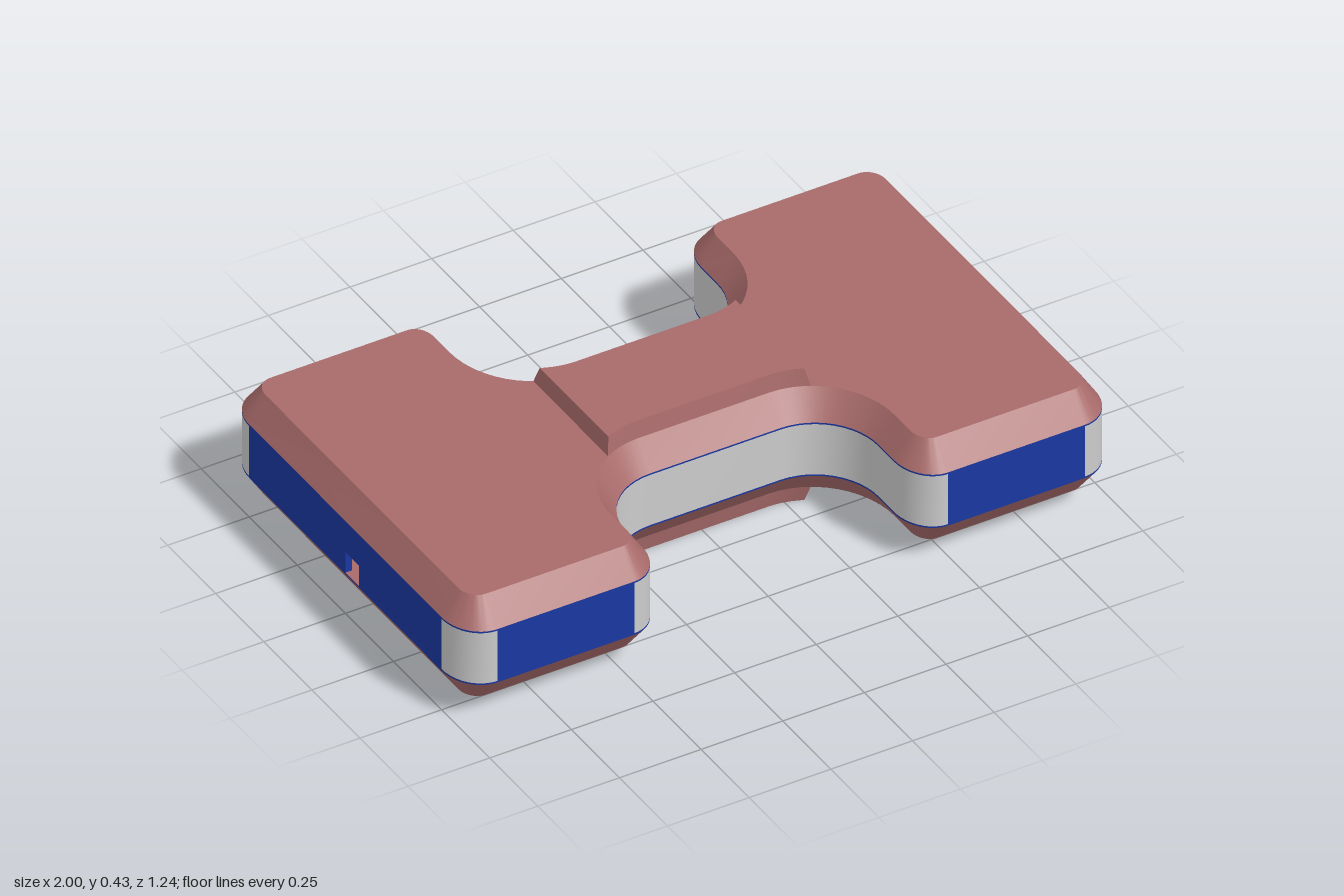
import * as THREE from 'three';
import { mergeGeometries, toCreasedNormals } from 'three/addons/utils/BufferGeometryUtils.js';

const ROSE = 0xa86a6a, BLUE = 0x1a37a0, GREY = 0xcccccc;
const MID = 0.215; // height of the mirror plane between upper and lower shell
const SEG = 12;

const material = (color) => new THREE.MeshStandardMaterial({ color, side: THREE.DoubleSide });

function add(parent, name, geometry, color) {
  const mesh = new THREE.Mesh(geometry, material(color));
  mesh.name = name;
  parent.add(mesh);
  return mesh;
}

// Mirrors a front-right quarter [x, z] into a closed ring
function mirrorRing(q) {
  const back = q.map(([x, z]) => [x, -z]).reverse();
  const flip = (list) => list.map(([x, z]) => [-x, -z]);
  return [...q, ...back, ...flip(q), ...flip(back)];
}

// H-shaped outline, shrunk by dx and dz
function outline(dx = 0, dz = 0) {
  const q = [];
  const arc = (f) => {
    for (let i = 0; i <= SEG; i++) {
      const t = (i / SEG) * Math.PI / 2;
      q.push(f(Math.sin(t), Math.cos(t)));
    }
  };
  arc((s, c) => [0.2 + (0.185 + dx) * s, 0.42 - (0.195 + dz) * c]); // waist curve
  arc((s, c) => [0.48 - (0.095 - dx) * c, 0.5 + (0.12 - dz) * s]); // inner corner
  arc((s, c) => [0.9 + (0.1 - dx) * s, 0.5 + (0.12 - dz) * c]); // outer corner
  return mirrorRing(q);
}

// Waist part of the outline, cut off at x = +-end
function waist(end, dx, dz) {
  const q = [];
  for (let i = 0; i <= SEG; i++) {
    const u = (end - 0.2) * i / SEG;
    q.push([0.2 + u, 0.42 - (0.195 + dz) * Math.sqrt(1 - (u / (0.185 + dx)) ** 2)]);
  }
  return mirrorRing(q);
}

// Wall between two rings; keep() chooses the segments
function wall(a, ya, b, yb, keep = () => true) {
  const pos = [];
  a.forEach((a0, i) => {
    const j = (i + 1) % a.length;
    if (!keep(a0, a[j])) return;
    const A = [a0[0], ya, a0[1]], B = [a[j][0], ya, a[j][1]];
    const C = [b[j][0], yb, b[j][1]], D = [b[i][0], yb, b[i][1]];
    pos.push(...A, ...B, ...C, ...A, ...C, ...D);
  });
  const g = new THREE.BufferGeometry();
  g.setAttribute('position', new THREE.Float32BufferAttribute(pos, 3));
  return g;
}

// Flat lid over a ring
function lid(ring, y) {
  const shape = new THREE.Shape(ring.map(([x, z]) => new THREE.Vector2(x, -z)));
  const g = new THREE.ShapeGeometry(shape).rotateX(-Math.PI / 2).translate(0, y, 0).toNonIndexed();
  g.deleteAttribute('uv');
  g.deleteAttribute('normal');
  return g;
}

const creased = (...parts) => toCreasedNormals(mergeGeometries(parts), 0.45);

export function createModel() {
  const group = new THREE.Group();
  const rim = outline(), deck = outline(0.05, 0.06);

  // Chamfered shells with the raised bridge, above and below
  const shell = creased(wall(rim, 0.302, deck, 0.38), lid(deck, 0.38));
  const foot = waist(0.31, 0.05, 0.06), crest = waist(0.3, 0.06, 0.07);
  const bridge = creased(wall(foot, 0.38, crest, 0.43), lid(crest, 0.43));
  for (const side of ['upper', 'lower']) {
    const half = new THREE.Group();
    half.name = side + 'Half';
    add(half, side + 'Shell', shell, ROSE);
    add(half, side + 'Bridge', bridge, ROSE);
    // Thin seam where the shell meets the band
    add(half, side + 'Seam', creased(wall(rim, 0.297, rim, 0.302)), BLUE);
    if (side === 'lower') {
      half.rotation.x = Math.PI;
      half.position.y = 2 * MID;
    }
    group.add(half);
  }

  // Side band: blue on the straight faces, grey around the curves
  const near = (a, b) => Math.abs(a - b) < 1e-4;
  const isEnd = (p, q) => near(Math.abs(p[0]), 1) && near(p[0], q[0]);
  const isFace = (p, q) => near(Math.abs(p[1]), 0.62) && near(p[1], q[1]);
  const band = (keep) => creased(wall(rim, 0.133, rim, 0.297, keep));
  add(group, 'curvedBand', band((p, q) => !isEnd(p, q) && !isFace(p, q)), GREY);
  add(group, 'sidePanels', band(isFace), BLUE);

  // End panels, each with a small square opening at the lower edge
  for (const s of [1, -1]) {
    const outlinePoints = [
      [-0.5, 0.133], [0, 0.133], [0, 0.2], [0.07, 0.2],
      [0.07, 0.133], [0.5, 0.133], [0.5, 0.297], [-0.5, 0.297],
    ].map(([z, y]) => new THREE.Vector2(-s * z, y));
    const panel = new THREE.ExtrudeGeometry(new THREE.Shape(outlinePoints), { depth: 0.02, bevelEnabled: false });
    panel.translate(0, 0, 0.98).rotateY(s * Math.PI / 2);
    add(group, s > 0 ? 'leftEndPanel' : 'rightEndPanel', panel, BLUE);
  }
  return group;
}
